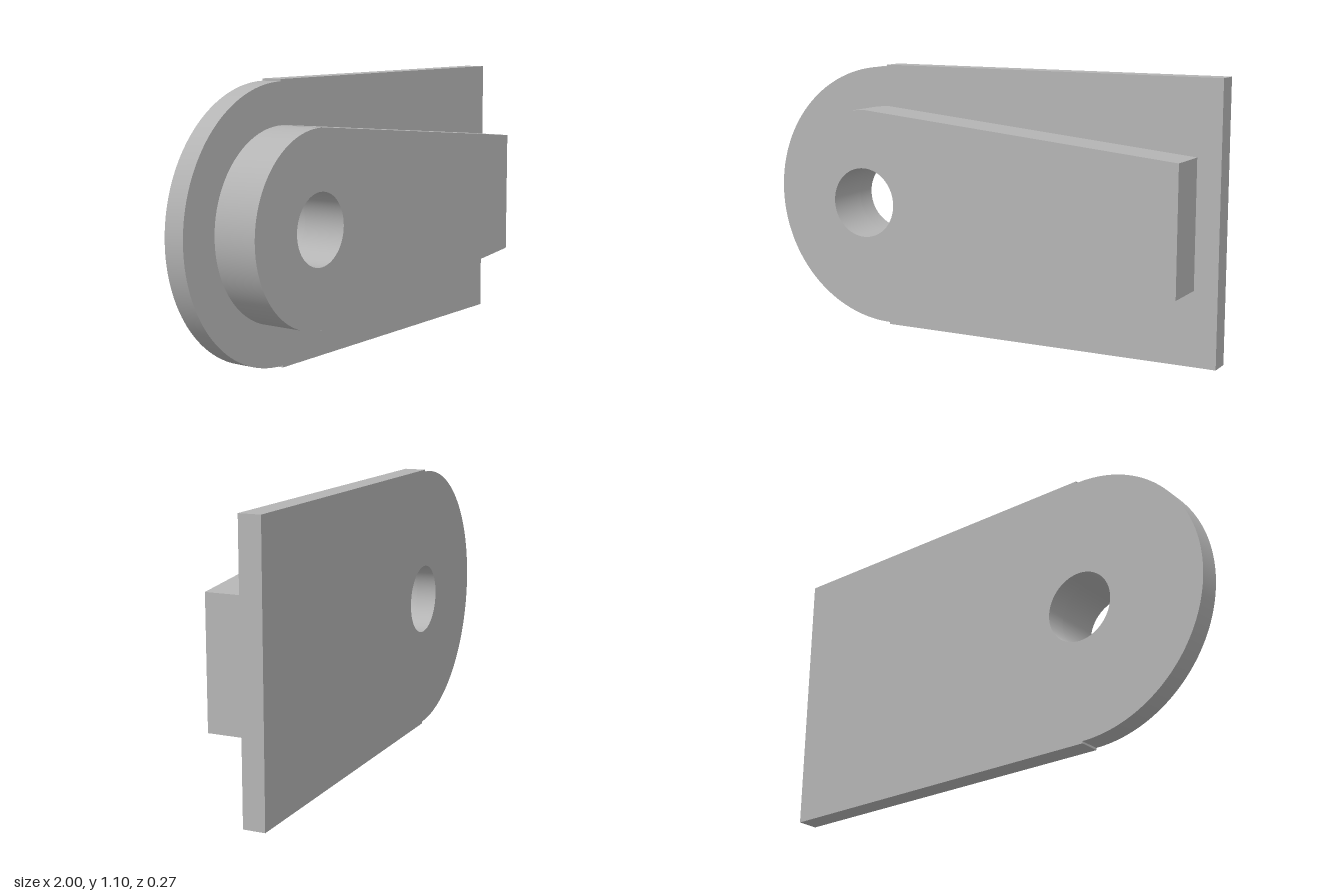
import * as THREE from 'three';
import { toCreasedNormals } from 'three/addons/utils/BufferGeometryUtils.js';

const HOLE_X = -0.457, MID_Y = 0.5515;

// Slab with a round left end, straight sides running to the right end, and a round through hole
function roundEndedSlab({ radius, startHalf, endX, endHalf, back, front }, material, name) {
  const shape = new THREE.Shape();
  shape.moveTo(HOLE_X, MID_Y - startHalf);
  shape.lineTo(endX, MID_Y - endHalf);
  shape.lineTo(endX, MID_Y + endHalf);
  shape.lineTo(HOLE_X, MID_Y + startHalf);
  shape.absarc(HOLE_X, MID_Y, radius, Math.PI / 2, Math.PI * 1.5, false);

  const hole = new THREE.Path();
  hole.absarc(HOLE_X, MID_Y, 0.142, 0, Math.PI * 2, true);
  shape.holes.push(hole);

  const geometry = new THREE.ExtrudeGeometry(shape, {
    depth: front - back, bevelEnabled: false, curveSegments: 40,
  });
  geometry.translate(0, 0, back);
  const mesh = new THREE.Mesh(toCreasedNormals(geometry, 0.4), material);
  mesh.name = name;
  return mesh;
}

export function createModel() {
  const group = new THREE.Group();
  group.name = 'mountingBracket';
  const grey = new THREE.MeshStandardMaterial({ color: 0xb4b4b4 });
  grey.name = 'plainGrey';

  // Thin back plate; its straight edges stand slightly proud of the round end
  group.add(roundEndedSlab({
    radius: 0.543, startHalf: 0.5515, endX: 1, endHalf: 0.5515, back: -0.137, front: -0.05,
  }, grey, 'backPlate'));

  // Thicker tapered boss on the front
  group.add(roundEndedSlab({
    radius: 0.379, startHalf: 0.381, endX: 0.905, endHalf: 0.254, back: -0.05, front: 0.137,
  }, grey, 'taperedBoss'));

  return group;
}
